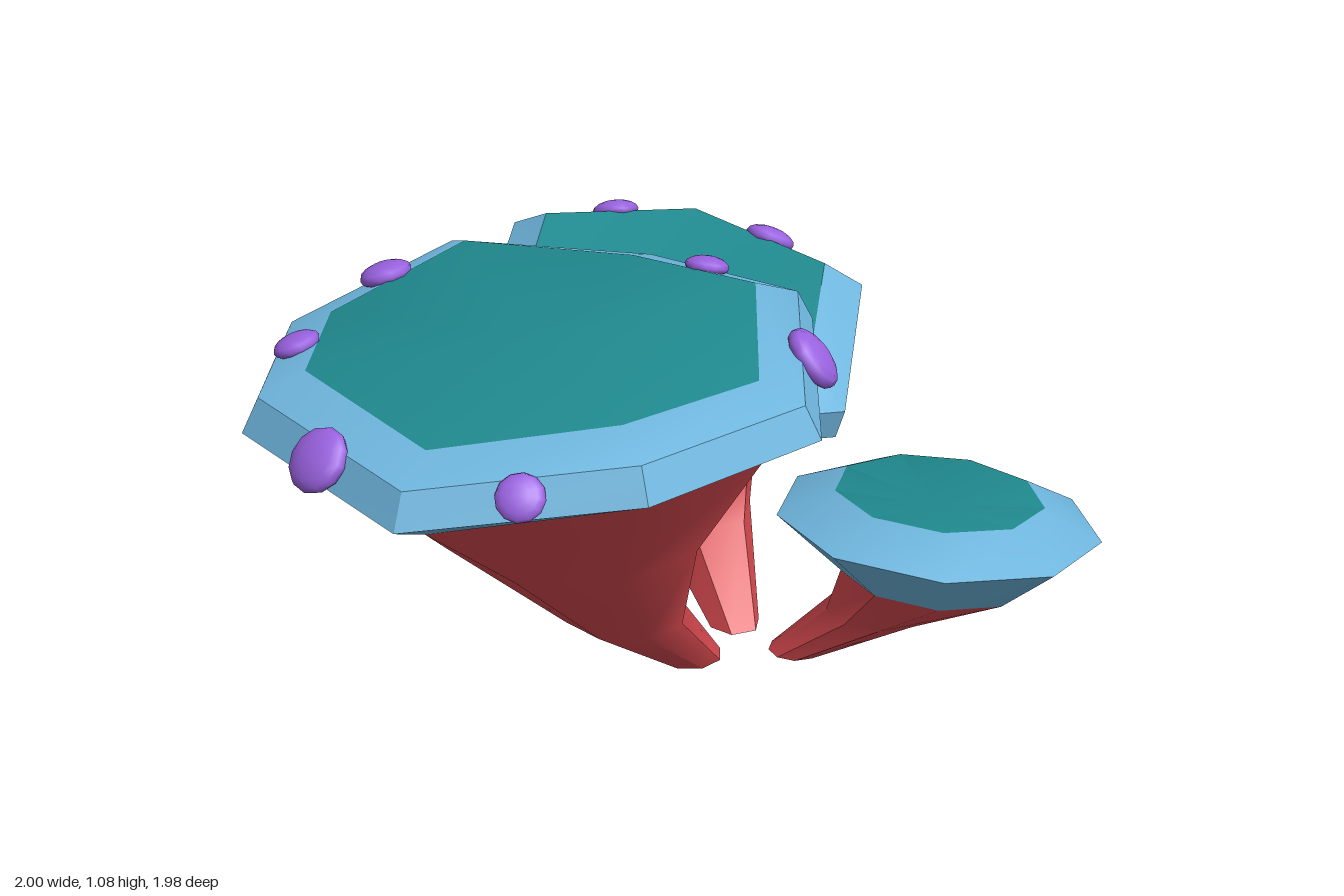
import * as THREE from 'three';
import { toCreasedNormals } from 'three/addons/utils/BufferGeometryUtils.js';

const mat = (name, color) => {
  const m = new THREE.MeshStandardMaterial({ color });
  m.name = name;
  return m;
};

// one polygon of n corners; height(t) gives y at each angle
function ring(x, z, r, n, phase, height) {
  return Array.from({ length: n }, (_, j) => {
    const t = phase + (j / n) * Math.PI * 2;
    return new THREE.Vector3(x + r * Math.cos(t), height(t), z + r * Math.sin(t));
  });
}

// skin a stack of polygons from bottom to top; the sides are group 0, an optional top cap is group 1
function loft(rings, crease, { bottom, top }) {
  const n = rings[0].length;
  const points = rings.flat();
  const last = points.length - n;
  const sides = [], cap = [];
  for (let j = 0; j < n; j++) {
    const k = (j + 1) % n;
    for (let i = 0; i < last; i += n) {
      sides.push(i + j, i + n + j, i + k, i + k, i + n + j, i + n + k);
    }
    if (bottom) sides.push(j, k, points.length);
    if (top) cap.push(last + j, points.length, last + k);
  }
  points.push(bottom || top);
  const g = new THREE.BufferGeometry().setFromPoints(points);
  g.setIndex([...sides, ...cap]);
  g.addGroup(0, sides.length, 0);
  g.addGroup(sides.length, cap.length, 1);
  return toCreasedNormals(g, crease);
}

export function createModel() {
  const red = mat('stem red', 0xd84a50);
  const blue = mat('rim blue', 0x6fb6de);
  const teal = mat('dish teal', 0x1f898e);
  const purple = mat('nodule purple', 0x9a62e0);
  const model = new THREE.Group();
  model.name = 'cupCluster';

  // centre: x, mean rim height, z; slope: rise per unit of x and z; wave: corners alternately up and down
  // profile: [radius, rise] from underside to dish edge; stem: [x, y, z, radius] upwards
  // nodules: [rim edge, size]
  function addCup({ name, centre, sides, phase = 0, slope, wave = 0, dish, profile, stem, crease, wallNodules = [], lipNodules = [] }) {
    const [cx, cy, cz] = centre;
    const group = new THREE.Group();
    group.name = name;
    model.add(group);
    const add = (part, geo, material) => {
      const m = new THREE.Mesh(geo, material);
      m.name = part;
      group.add(m);
      return m;
    };

    const rim = profile.map(([r, rise]) => ring(cx, cz, r, sides, phase, t =>
      cy + rise + r * (slope[0] * Math.cos(t) + slope[1] * Math.sin(t)) + wave * Math.cos(t * sides / 2)));
    const sections = stem.map(([x, y, z, r]) => ring(x, z, r, sides, phase, () => y));
    const [fx, fy, fz] = stem[0];

    // leaning stem that widens into the underside of the rim
    add('stem', loft([...sections, rim[0]], crease, { bottom: new THREE.Vector3(fx, fy, fz) }), [red]);
    // faceted rim whose lip rolls smoothly into a shallow dish
    add('rimAndDish', loft(rim, 0.6, { top: new THREE.Vector3(cx, dish, cz) }), [blue, teal]);

    // flattened nodule on one rim facet, facing out of it and a little upwards
    const addNodule = (edge, level, size) => {
      const next = (edge + 1) % sides;
      const a = rim[level][edge], b = rim[level][next];
      const c = rim[level + 1][edge], d = rim[level + 1][next];
      const normal = c.clone().sub(a).cross(b.clone().sub(a)).normalize();
      const nodule = add('nodule', new THREE.SphereGeometry(size, 12, 8), purple);
      nodule.scale.y = 0.45;
      nodule.position.copy(a).add(b).lerp(c.clone().add(d), 0.55).multiplyScalar(0.5).addScaledVector(normal, 0.01);
      normal.y += 0.3;
      nodule.quaternion.setFromUnitVectors(new THREE.Vector3(0, 1, 0), normal.normalize());
    };
    wallNodules.forEach(([edge, size]) => addNodule(edge, 1, size));
    lipNodules.forEach(([edge, size]) => addNodule(edge, rim.length - 2, size));
  }

  addCup({
    name: 'largeCup', centre: [-0.37, 0.918, 0.345], sides: 8, slope: [0.055, -0.048], wave: 0.022, dish: 1.015,
    profile: [[0.51, -0.065], [0.632, 0], [0.595, 0.07], [0.495, 0.108]],
    stem: [[0.12, 0, 0.01, 0.08], [-0.09, 0.21, 0.12, 0.145], [-0.26, 0.52, 0.25, 0.295]],
    crease: 0.95, wallNodules: [[0, 0.074], [2, 0.05], [3, 0.07]], lipNodules: [[4, 0.052], [5, 0.06], [7, 0.05]],
  });
  addCup({
    name: 'middleCup', centre: [0.292, 0.668, -0.53], sides: 6, slope: [-0.02, -0.235], wave: 0.015, dish: 0.69,
    profile: [[0.35, -0.13], [0.505, -0.08], [0.53, 0], [0.42, 0.072]],
    stem: [[0.285, 0, -0.095, 0.065], [0.29, 0.21, -0.33, 0.135], [0.285, 0.36, -0.43, 0.2]],
    crease: 0.8, lipNodules: [[3, 0.053], [4, 0.062], [5, 0.066]],
  });
  addCup({
    name: 'smallCup', centre: [0.62, 0.412, 0.305], sides: 9, phase: -0.08, slope: [-0.08, 0.03], dish: 0.445,
    profile: [[0.225, -0.14], [0.38, 0], [0.245, 0.065]],
    stem: [[0.37, 0, 0.078, 0.065], [0.53, 0.14, 0.195, 0.125]],
    crease: 0.8,
  });
  return model;
}
